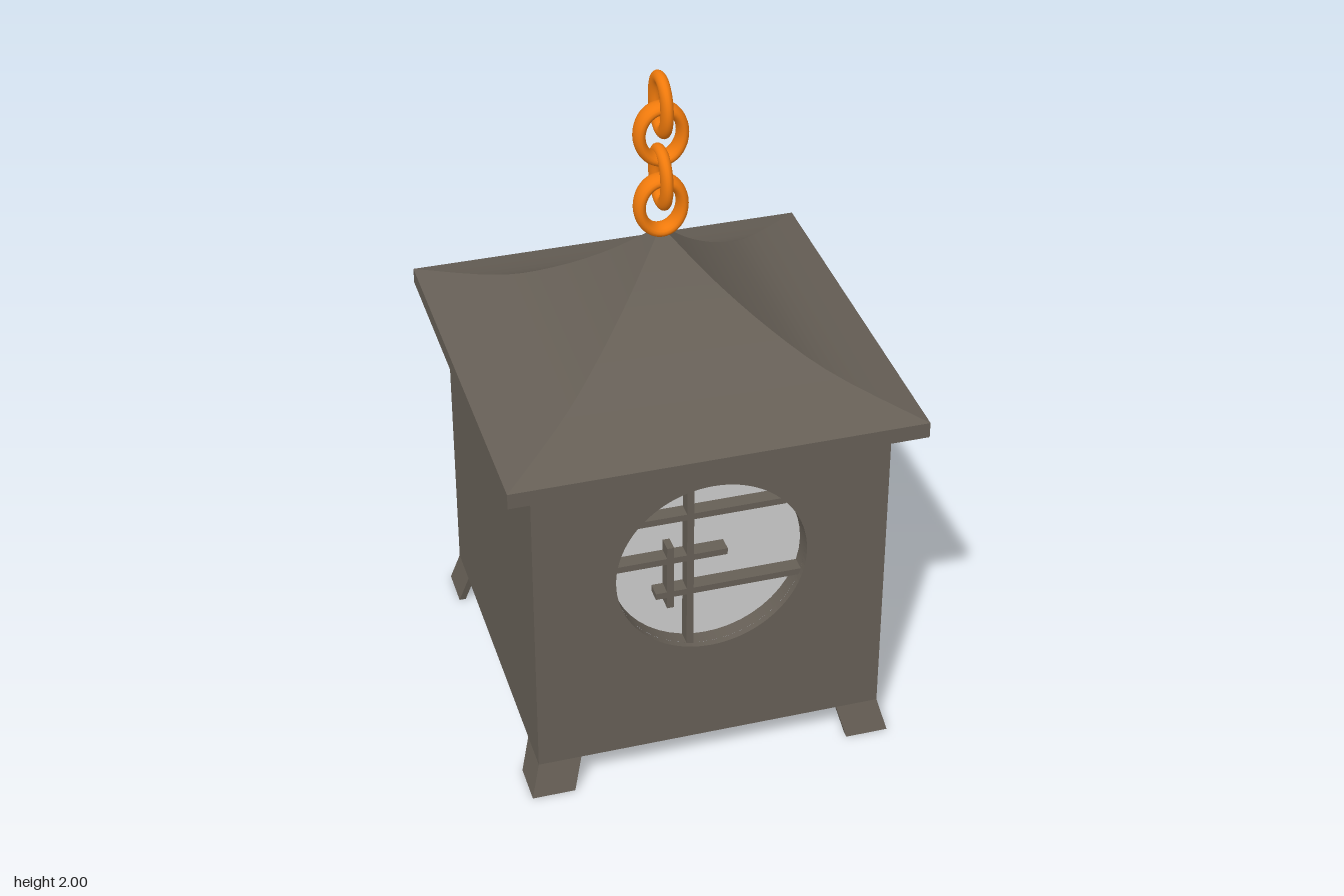
import * as THREE from 'three';
import { toCreasedNormals } from 'three/addons/utils/BufferGeometryUtils.js';
import { ParametricGeometry } from 'three/addons/geometries/ParametricGeometry.js';

export function createModel() {
  const model = new THREE.Group();
  const dark = new THREE.MeshStandardMaterial({ color: 0x665f56 });
  const darkThin = new THREE.MeshStandardMaterial({ color: 0x665f56, side: THREE.DoubleSide });
  const paper = new THREE.MeshStandardMaterial({ color: 0xcccccc });
  const orange = new THREE.MeshStandardMaterial({ color: 0xf07a0c });

  const add = (name, geometry, material, parent = model) => {
    const mesh = new THREE.Mesh(geometry, material);
    mesh.name = name;
    parent.add(mesh);
    return mesh;
  };
  const box = (name, x0, x1, y0, y1, z0, z1, parent) => {
    const g = new THREE.BoxGeometry(x1 - x0, y1 - y0, z1 - z0);
    g.translate((x0 + x1) / 2, (y0 + y1) / 2, (z0 + z1) / 2);
    return add(name, g, dark, parent);
  };

  const W = 0.517, T = 0.02, Y0 = 0.1, Y1 = 1.09;
  const windowY = 0.707, windowR = 0.28;

  // Front and back walls, each with a round window
  const wall = new THREE.Shape([
    new THREE.Vector2(-W, Y0), new THREE.Vector2(W, Y0),
    new THREE.Vector2(W, Y1), new THREE.Vector2(-W, Y1),
  ]);
  wall.holes.push(new THREE.Path().absarc(0, windowY, windowR, 0, Math.PI * 2, true));
  const wallGeometry = new THREE.ExtrudeGeometry(wall, { depth: T, bevelEnabled: false, curveSegments: 48 });
  add('frontWall', wallGeometry, dark).position.z = W - T;
  add('backWall', wallGeometry, dark).position.z = -W;

  // Side walls; the body is open underneath
  for (const s of [-1, 1]) {
    const x = s * (W - T / 2);
    box(s > 0 ? 'leftWall' : 'rightWall', x - T / 2, x + T / 2, Y0, Y1, -W + T, W - T);
  }

  // Round drum joining the two windows, with a panel near each end
  const drum = new THREE.CylinderGeometry(windowR, windowR, 2 * (W - T), 48, 1, true);
  drum.rotateX(Math.PI / 2);
  add('windowDrum', drum, darkThin).position.y = windowY;
  const disc = new THREE.CircleGeometry(windowR, 48);
  add('frontPanel', disc, paper).position.set(0, windowY, 0.455);
  const backPanel = add('backPanel', disc, dark);
  backPanel.position.set(0, windowY, -0.455);
  backPanel.rotation.y = Math.PI;

  // Window lattice: x range, y range of each bar
  const bars = [
    [-0.22, 0.22, 0.872, 0.892],
    [-0.28, 0.05, 0.73, 0.75],
    [-0.16, 0.28, 0.612, 0.632],
    [-0.069, -0.049, 0.34, 0.985],
    [-0.127, -0.107, 0.575, 0.785],
  ];
  for (const s of [-1, 1]) {
    const lattice = new THREE.Group();
    lattice.name = s > 0 ? 'frontLattice' : 'backLattice';
    for (const [x0, x1, y0, y1] of bars) {
      box('latticeBar', x0, x1, y0, y1, s * 0.475 - 0.025, s * 0.475 + 0.025, lattice);
    }
    model.add(lattice);
  }

  // L-shaped corner feet, splayed outwards towards the ground
  const a = W - 0.127, b = W - T;
  const footShape = new THREE.Shape([
    [a, -W], [W, -W], [W, -a], [b, -a], [b, -b], [a, -b],
  ].map(([x, y]) => new THREE.Vector2(x, y)));
  const footGeometry = new THREE.ExtrudeGeometry(footShape, { depth: Y0, bevelEnabled: false });
  footGeometry.rotateX(-Math.PI / 2);
  const fp = footGeometry.attributes.position;
  for (let i = 0; i < fp.count; i++) {
    const splay = 0.027 * (1 - fp.getY(i) / Y0);
    fp.setX(i, fp.getX(i) + splay);
    fp.setZ(i, fp.getZ(i) + splay);
  }
  footGeometry.computeVertexNormals();
  for (let i = 0; i < 4; i++) add('foot', footGeometry, dark).rotation.y = i * Math.PI / 2;

  // Eave slab and the concave four-sided roof
  box('eave', -0.597, 0.597, 1.088, 1.135, -0.597, 0.597);
  const curve = new THREE.SplineCurve([
    [0.597, 1.135], [0.39, 1.2], [0.25, 1.285], [0.12, 1.395], [0.015, 1.508],
  ].map(([r, y]) => new THREE.Vector2(r * Math.SQRT2, y)));
  const profile = [...curve.getPoints(14), new THREE.Vector2(0, 1.512)];
  const roof = new THREE.LatheGeometry(profile, 4, Math.PI / 4);
  roof.deleteAttribute('normal');
  roof.deleteAttribute('uv');
  add('roof', toCreasedNormals(roof, 0.25), dark);

  // Chain of four oval links, alternately turned
  const link = (halfW, halfH, rW, rH, rN) => new ParametricGeometry((u, v, p) => {
    const t = u * Math.PI * 2, q = v * Math.PI * 2;
    p.set(
      (halfW - rW + rW * Math.cos(q)) * Math.cos(t),
      (halfH - rH + rH * Math.cos(q)) * Math.sin(t),
      rN * Math.sin(q));
  }, 40, 16);
  const wideLink = link(0.079, 0.097, 0.017, 0.018, 0.031);
  const sideLink = link(0.091, 0.096, 0.03, 0.018, 0.017);
  [1.592, 1.68, 1.816, 1.904].forEach((y, i) => {
    const mesh = add('chainLink', i % 2 ? sideLink : wideLink, orange);
    mesh.position.y = y;
    if (i % 2) mesh.rotation.y = Math.PI / 2;
  });

  return model;
}
